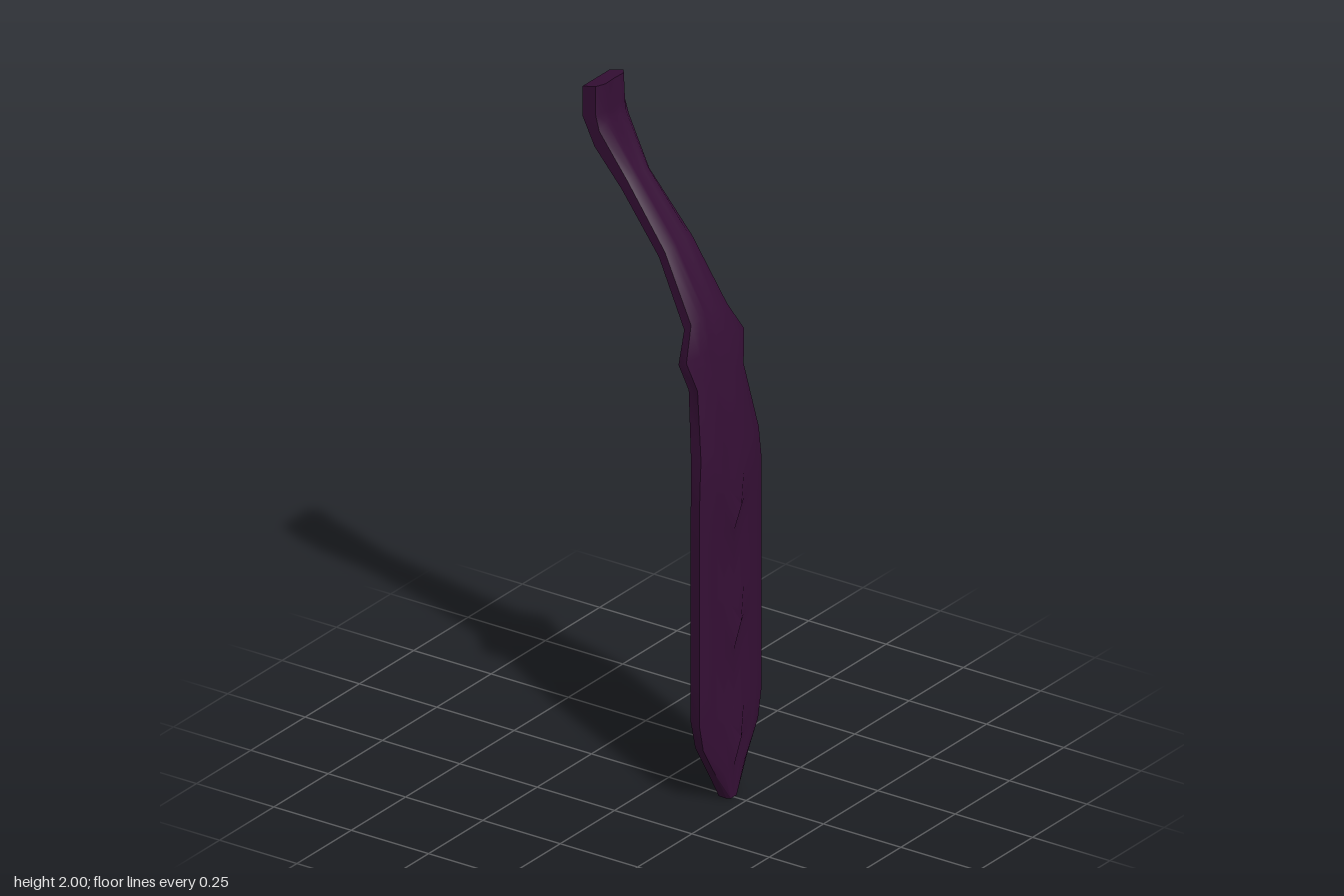
import * as THREE from 'three';
import { toCreasedNormals } from 'three/addons/utils/BufferGeometryUtils.js';

// Cross-section going round the strap: [fraction of half width, back 0 .. front 1]
const half = [[0.32, 0.96], [0.65, 1], [1, 0.72], [0.95, 0]];
const section = [
  [0, 0.96], ...half, [0, 0],
  ...half.slice().reverse().map(([x, f]) => [-x, f]),
];

// Stations along the strap: [front y, front z, back y, back z, half width, ridge stud height]
const stations = [
  [0, 0.21, 0, 0.175, 0.02, 0],
  [0.09, 0.212, 0.09, 0.172, 0.072, 0],
  [0.18, 0.212, 0.18, 0.169, 0.126, 0.024],
  [0.26, 0.212, 0.26, 0.166, 0.143, 0],
  [0.43, 0.212, 0.43, 0.166, 0.143, 0],
  [0.52, 0.212, 0.52, 0.166, 0.143, 0.024],
  [0.61, 0.212, 0.61, 0.166, 0.143, 0],
  [0.78, 0.213, 0.78, 0.166, 0.143, 0],
  [0.86, 0.213, 0.86, 0.166, 0.143, 0.024],
  [0.94, 0.213, 0.94, 0.166, 0.142, 0],
  [1.03, 0.212, 1.03, 0.16, 0.133, 0],
  [1.22, 0.18, 1.21, 0.135, 0.106, 0],
  [1.31, 0.162, 1.29, 0.12, 0.133, 0], // side points
  [1.4, 0.14, 1.37, 0.105, 0.083, 0],
  [1.58, 0.04, 1.55, 0.01, 0.063, 0],
  [1.75, -0.09, 1.71, -0.12, 0.05, 0],
  [1.89, -0.17, 1.82, -0.195, 0.068, 0], // neck block
  [1.92, -0.172, 1.9, -0.235, 0.067, 0],
  [2, -0.175, 1.985, -0.235, 0.065, 0],
];

function strapGeometry() {
  const n = section.length;
  const positions = [];
  const index = [];
  for (const [fy, fz, by, bz, w, stud] of stations) {
    section.forEach(([x, f], i) => {
      positions.push(x * w, by + (fy - by) * f, bz + (fz - bz) * f + (i === 0 ? stud : 0));
    });
  }
  // Skin between neighbouring stations
  for (let s = 0; s < stations.length - 1; s++) {
    for (let i = 0; i < n; i++) {
      const a = s * n + i;
      const b = s * n + (i + 1) % n;
      // mirrored diagonals keep both sides alike
      if (i < n / 2) index.push(a, b, b + n, a, b + n, a + n);
      else index.push(a, b, a + n, b, b + n, a + n);
    }
  }
  // Flat caps at the tip and the top
  const top = (stations.length - 1) * n;
  for (let i = 1; i < n - 1; i++) {
    index.push(0, i + 1, i);
    index.push(top, top + i, top + i + 1);
  }
  const geometry = new THREE.BufferGeometry();
  geometry.setAttribute('position', new THREE.Float32BufferAttribute(positions, 3));
  geometry.setIndex(index);
  return toCreasedNormals(geometry, THREE.MathUtils.degToRad(50));
}

function toCentre(group) {
  const box = new THREE.Box3().setFromObject(group);
  const c = box.getCenter(new THREE.Vector3());
  group.children.forEach((m) => m.position.set(-c.x, -box.min.y, -c.z));
}

export function createModel() {
  const group = new THREE.Group();
  const darkPurple = new THREE.MeshStandardMaterial({ color: 0x350f35 });
  darkPurple.name = 'darkPurple';
  const strap = new THREE.Mesh(strapGeometry(), darkPurple);
  strap.name = 'curvedStrap';
  group.add(strap);
  toCentre(group);
  return group;
}
